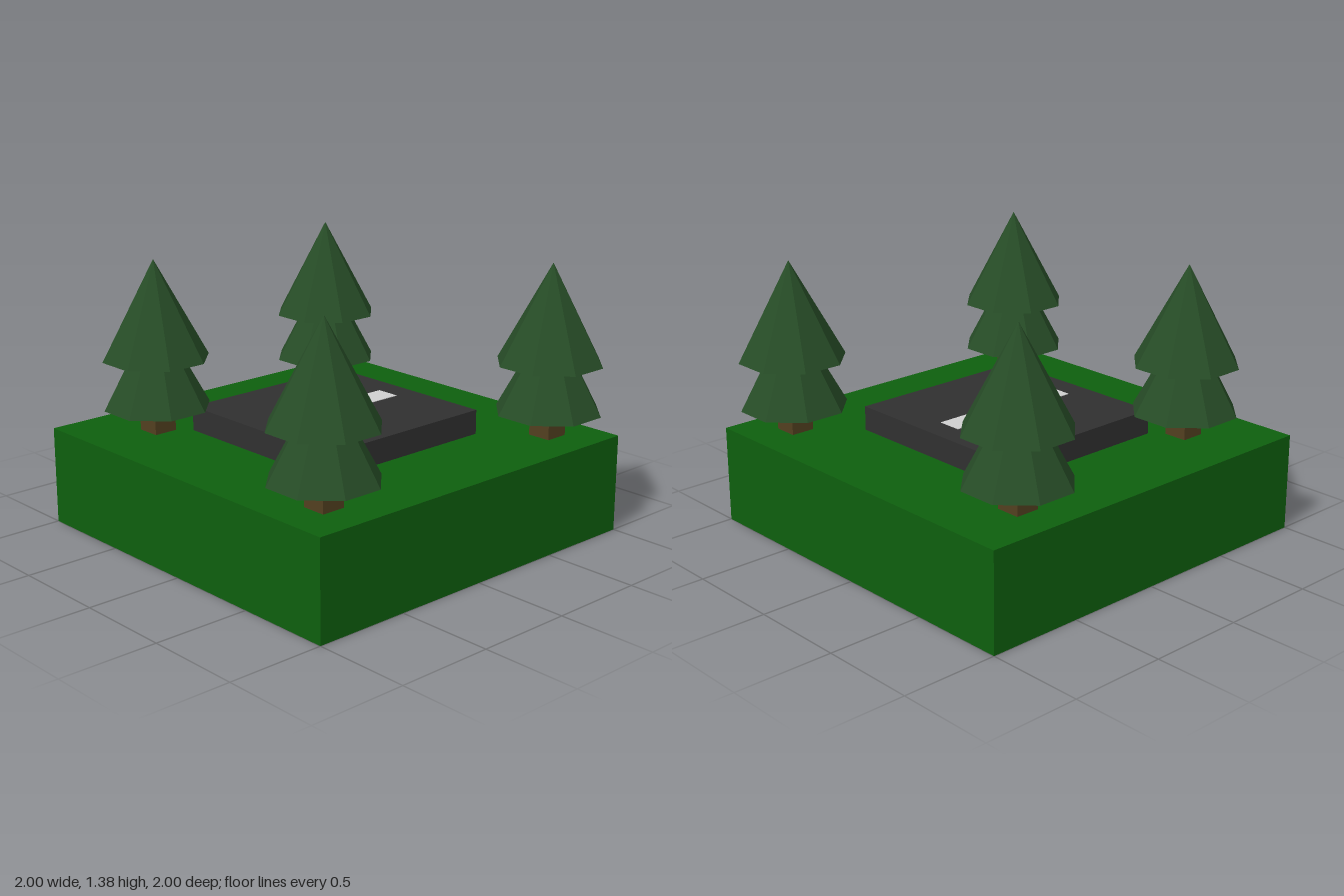
import * as THREE from 'three';

function material(name, color, flatShading = false) {
  const m = new THREE.MeshStandardMaterial({ color, flatShading });
  m.name = name;
  return m;
}

function addMesh(parent, name, geometry, mat, x, y, z) {
  const mesh = new THREE.Mesh(geometry, mat);
  mesh.name = name;
  mesh.position.set(x, y, z);
  parent.add(mesh);
  return mesh;
}

export function createModel() {
  const grass = material('grass green', 0x0e600e);
  const asphalt = material('asphalt grey', 0x303030);
  const paint = material('road paint', 0xd0d0d0);
  const bark = material('bark brown', 0x524020);
  const needles = material('needle green', 0x274d27, true);

  const model = new THREE.Group();
  model.name = 'roadTile';

  // Ground block and raised road slab
  addMesh(model, 'ground', new THREE.BoxGeometry(2, 0.5, 2), grass, 0, 0.25, 0);
  addMesh(model, 'road', new THREE.BoxGeometry(1, 0.125, 1), asphalt, 0, 0.5625, 0);

  // Two painted dashes along the road
  const dash = new THREE.BoxGeometry(0.125, 0.004, 0.25);
  for (const z of [-0.25, 0.25]) addMesh(model, 'roadDash', dash, paint, 0, 0.626, z);

  // Octagonal foliage cone with flat sides facing the axes, 0.5 wide across flats
  const foliage = new THREE.ConeGeometry(0.25 / Math.cos(Math.PI / 8), 0.5, 8);
  foliage.rotateY(Math.PI / 8);
  const trunk = new THREE.BoxGeometry(0.125, 0.15, 0.125);

  // Four trees: square trunk and two stacked cones
  for (const [x, z] of [[-0.75, -0.625], [0.75, -0.75], [-0.625, 0.625], [0.75, 0.75]]) {
    const tree = new THREE.Group();
    tree.name = 'tree';
    tree.position.set(x, 0.5, z);
    addMesh(tree, 'trunk', trunk, bark, 0, 0.075, 0);
    addMesh(tree, 'lowerFoliage', foliage, needles, 0, 0.375, 0);
    addMesh(tree, 'upperFoliage', foliage, needles, 0, 0.625, 0);
    model.add(tree);
  }

  return model;
}
